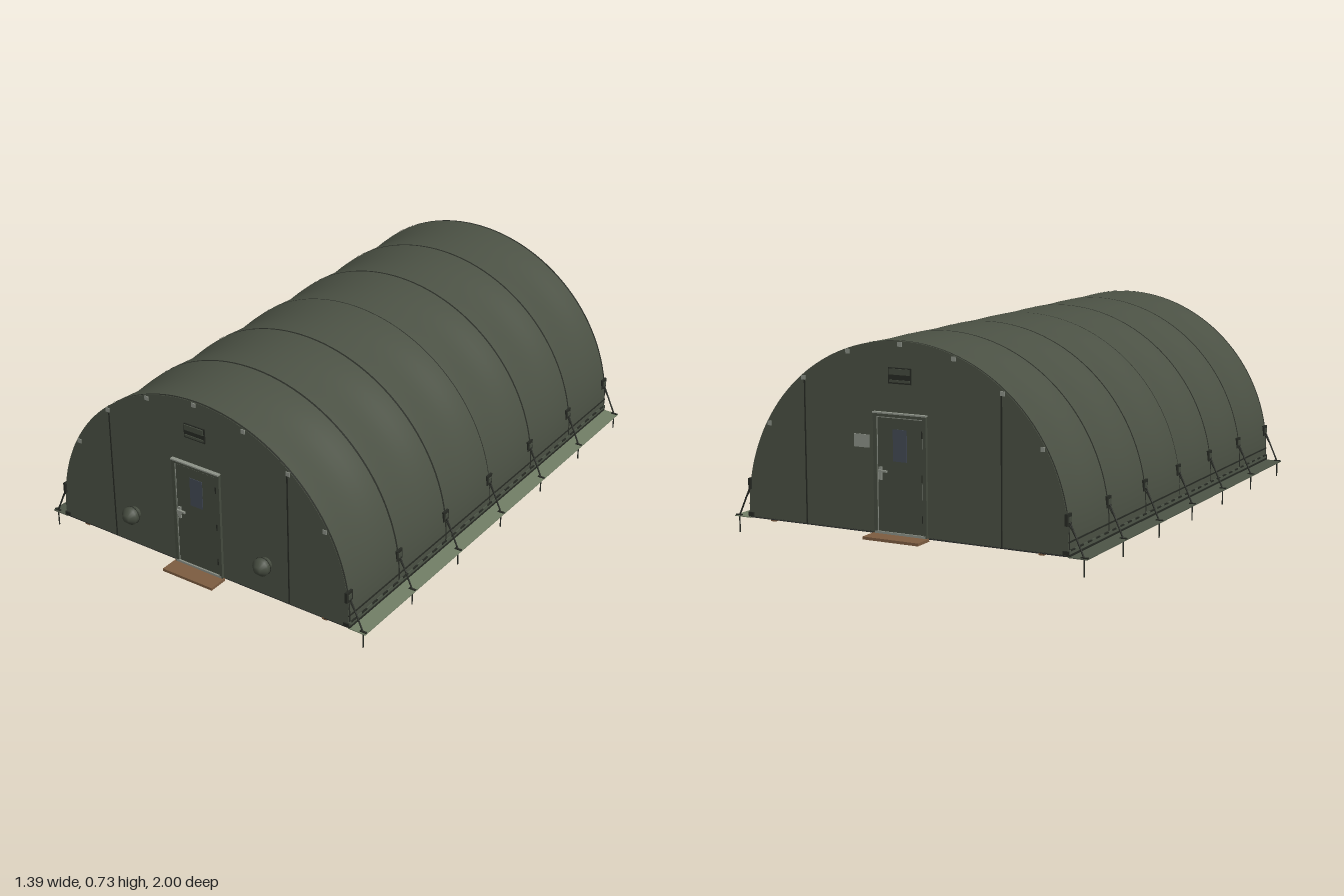
import * as THREE from 'three';

const mat = (name, color, side = THREE.FrontSide) => {
  const m = new THREE.MeshStandardMaterial({ color, side });
  m.name = name;
  return m;
};

const R = 0.63, CY = 0.1, BASE = 0.065, END = 0.922, BAY = END / 3;

export function createModel() {
  const canvas = mat('olive canvas', 0x4b5144, THREE.DoubleSide);
  const dark = mat('dark trim', 0x272a24);
  const skirtLight = mat('light green skirt', 0x727f66, THREE.DoubleSide);
  const skirtDark = mat('grey green skirt', 0x4d5547, THREE.DoubleSide);
  const wood = mat('brown wood', 0x7d5c40);
  const floorMat = mat('dark floor', 0x2b2d2d);
  const metal = mat('pale metal', 0x8d9288);
  const glass = mat('blue grey glass', 0x434a55);
  const doorMat = mat('door green', 0x454b3f);

  const model = new THREE.Group();
  model.name = 'archedShelter';

  const add = (parent, name, geo, material, x = 0, y = 0, z = 0) => {
    const m = new THREE.Mesh(geo, material);
    m.name = name;
    m.position.set(x, y, z);
    parent.add(m);
    return m;
  };
  const box = (parent, name, w, h, d, material, x, y, z) =>
    add(parent, name, new THREE.BoxGeometry(w, h, d), material, x, y, z);

  // Straight round bar between two points
  const bar = (parent, name, a, b, r, material) => {
    const p = new THREE.Vector3(...a), q = new THREE.Vector3(...b);
    const m = add(parent, name, new THREE.CylinderGeometry(r, r, p.distanceTo(q), 6), material);
    m.position.copy(p).add(q).multiplyScalar(0.5);
    m.quaternion.setFromUnitVectors(new THREE.Vector3(0, 1, 0), q.sub(p).normalize());
  };

  // Arched sheet from z0 to z1; the canvas sinks a little between the ribs
  const low = Math.asin((BASE - CY) / R);
  const arch = (z0, z1, nz, lift, sag) => {
    const g = new THREE.PlaneGeometry(1, 1, 64, nz);
    const p = g.attributes.position;
    for (let i = 0; i < p.count; i++) {
      const t = low + (p.getX(i) + 0.5) * (Math.PI - 2 * low);
      const z = z0 + (p.getY(i) + 0.5) * (z1 - z0);
      const dip = sag * Math.sin(Math.PI * z / BAY) ** 2 * Math.sin(2 * t) ** 2;
      const r = R + lift - dip;
      p.setXYZ(i, r * Math.cos(t), CY + r * Math.sin(t), z);
    }
    g.computeVertexNormals();
    return g;
  };

  add(model, 'roofCanvas', arch(-END, END, 48, 0, 0.01), canvas);
  for (let i = -3; i <= 3; i++) {
    const z = i * BAY, w = i === 0 ? 0.002 : 0.004;
    const edge = Math.abs(i) === 3 ? 0.004 * Math.sign(i) : 0;
    add(model, 'ribSeam', arch(z - edge - w, z - edge + w, 1, 0.0015, 0), dark);
  }

  // End walls
  const wall = new THREE.Shape();
  wall.absarc(0, CY, R, low, Math.PI - low, false);
  wall.closePath();
  const wallGeo = new THREE.ShapeGeometry(wall, 64);

  const buildEnd = (name, isFront) => {
    const g = new THREE.Group();
    g.name = name;
    add(g, 'endWall', wallGeo, canvas, 0, 0, END);

    // Panel seams and pale fastening tabs along the arch
    for (const s of [-1, 1]) box(g, 'panelSeam', 0.005, 0.51, 0.004, dark, s * 0.385, 0.32, END);
    for (const a of [30, 51, 70.5, 90, 109.5, 129, 150]) {
      const t = a * Math.PI / 180, r = 0.619;
      box(g, 'fasteningTab', 0.016, 0.016, 0.006, metal, r * Math.cos(t), CY + r * Math.sin(t), END);
    }

    // Door with frame, window, handle and hinges
    box(g, 'doorPanel', 0.19, 0.405, 0.012, doorMat, 0, 0.27, END);
    for (const s of [-1, 1]) {
      box(g, 'doorFrameSide', 0.013, 0.415, 0.022, doorMat, s * 0.097, 0.272, END);
      box(g, 'doorFrameEdge', 0.003, 0.4, 0.014, metal, s * 0.089, 0.27, END);
    }
    box(g, 'doorFrameTop', 0.2, 0.01, 0.022, doorMat, 0, 0.476, END);
    box(g, 'doorTopEdge', 0.18, 0.003, 0.014, metal, 0, 0.469, END);
    box(g, 'rainLedge', 0.208, 0.005, 0.03, metal, 0, 0.484, END);
    box(g, 'threshold', 0.2, 0.008, 0.024, metal, 0, 0.07, END);
    box(g, 'doorWindow', 0.054, 0.11, 0.004, glass, 0, 0.375, END + 0.006);
    box(g, 'handlePlate', 0.012, 0.045, 0.006, metal, -0.077, 0.275, END + 0.008);
    box(g, 'handle', 0.034, 0.007, 0.008, metal, -0.066, 0.284, END + 0.014);
    for (const y of [0.13, 0.27, 0.42]) box(g, 'hinge', 0.007, 0.025, 0.01, dark, 0.089, y, END + 0.006);

    // Upper vent
    box(g, 'ventFrame', 0.09, 0.055, 0.008, dark, 0, 0.612, END);
    box(g, 'ventFlap', 0.08, 0.02, 0.016, doorMat, 0, 0.626, END);
    box(g, 'ventSill', 0.08, 0.008, 0.014, doorMat, 0, 0.594, END);

    // Boarding step
    box(g, 'step', 0.218, 0.01, 0.075, wood, 0, 0.061, 0.9625);

    if (isFront) {
      // Round duct covers
      for (const s of [-1, 1]) {
        const pts = [[0.024, 0], [0.024, 0.012], [0.033, 0.018], [0.033, 0.036], [0.014, 0.056], [0, 0.056]]
          .map(([a, b]) => new THREE.Vector2(a, b));
        add(g, 'ductCover', new THREE.LatheGeometry(pts, 20), doorMat, s * 0.29, 0.195, END).rotation.x = Math.PI / 2;
        add(g, 'ductRing', new THREE.TorusGeometry(0.032, 0.002, 6, 24), dark, s * 0.29, 0.195, END + 0.02);
      }
    } else {
      box(g, 'noticePlate', 0.06, 0.045, 0.006, metal, -0.155, 0.38, END);
      g.rotation.y = Math.PI;
    }
    model.add(g);
  };
  buildEnd('frontEnd', true);
  buildEnd('backEnd', false);

  // Floor and the runners below it
  box(model, 'floor', 1.25, 0.006, 2 * END, floorMat, 0, 0.065, 0);
  for (const x of [-0.53, 0, 0.53]) box(model, 'floorRunner', 0.02, 0.008, 2 * END, wood, x, 0.061, 0);

  // Long sides: ground skirt, lacing band, patches, ropes and stakes
  for (const s of [-1, 1]) {
    const g = new THREE.Group();
    g.name = s > 0 ? 'leftSide' : 'rightSide';
    const skirt = s > 0 ? skirtLight : skirtDark;
    box(g, 'groundSkirt', 0.07, 0.003, 2 * END, skirt, s * 0.662, 0.061, 0);
    box(g, 'lowerHem', 0.006, 0.02, 2 * END, skirtDark, s * 0.63, 0.075, 0);
    box(g, 'hemLine', 0.005, 0.005, 2 * END, dark, s * 0.63, 0.111, 0);
    box(g, 'baseRail', 0.014, 0.007, 2 * END, dark, s * 0.628, 0.067, 0);
    for (let i = -14; i <= 14; i++) box(g, 'lacingLoop', 0.008, 0.005, 0.03, dark, s * 0.631, 0.083, i * 0.064);
    for (let i = -3; i <= 3; i++) {
      const z = i * (BAY - 0.003);
      box(g, 'ropePatch', 0.01, 0.04, 0.034, dark, s * 0.624, 0.185, z);
      box(g, 'patchBuckle', 0.012, 0.018, 0.018, doorMat, s * 0.626, 0.185, z);
      bar(g, 'guyRope', [s * 0.622, 0.195, z], [s * 0.682, 0.062, z], 0.003, dark);
      bar(g, 'guyStrap', [s * 0.63, 0.165, z], [s * 0.655, 0.125, z], 0.003, dark);
      bar(g, 'stake', [s * 0.682, 0, z], [s * 0.682, 0.066, z], 0.0025, dark);
      box(g, 'stakeHead', 0.026, 0.004, 0.008, dark, s * 0.683, 0.064, z);
    }
    for (const z of [-END, END]) box(g, 'cornerFoot', 0.022, 0.014, 0.01, dark, s * 0.622, 0.075, z);
    model.add(g);
  }

  return model;
}
